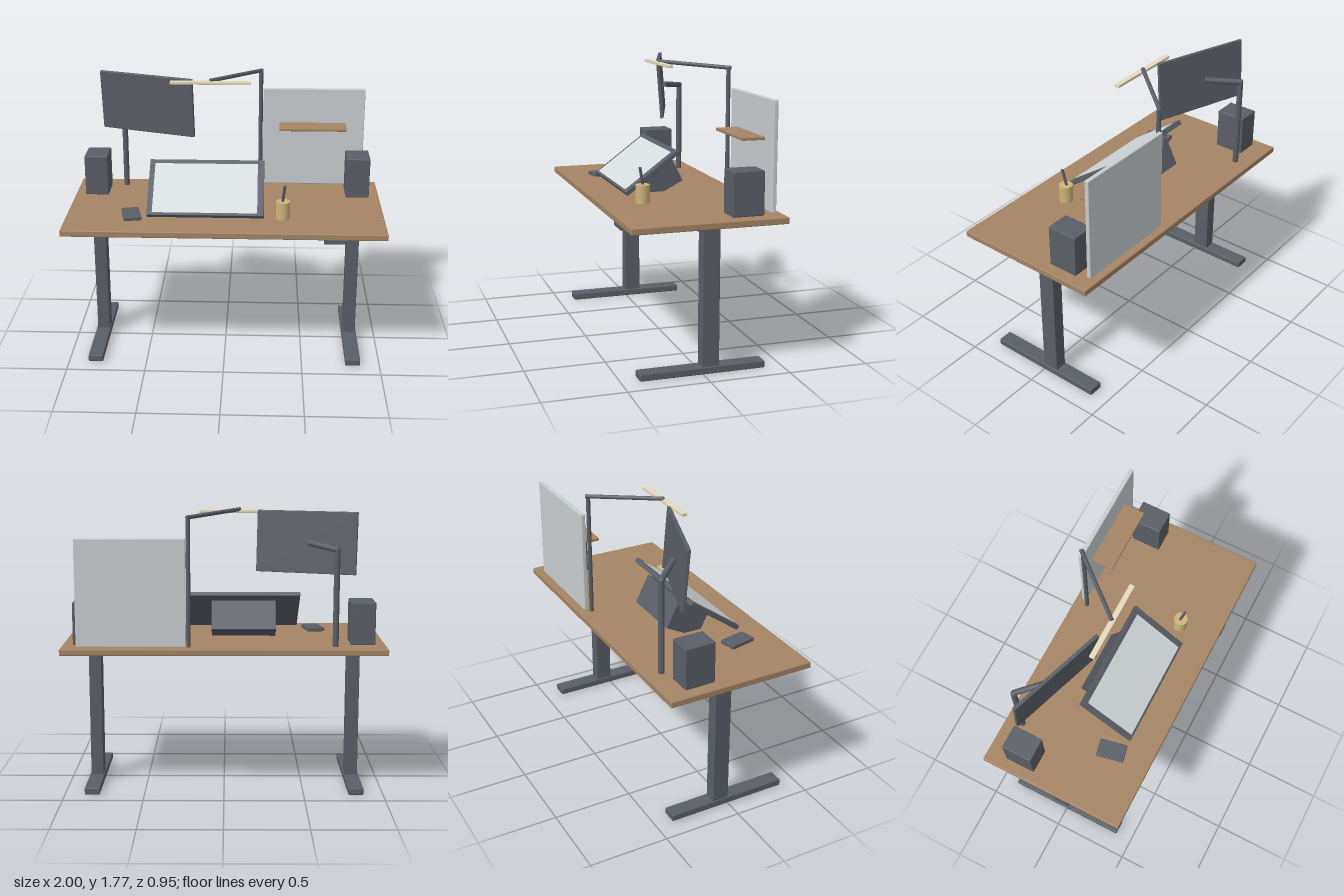
import * as THREE from 'three';
import { RoundedBoxGeometry } from 'three/addons/geometries/RoundedBoxGeometry.js';

const paint = (name, color) => {
  const m = new THREE.MeshStandardMaterial({ color });
  m.name = name;
  return m;
};

export function createModel() {
  const model = new THREE.Group();
  model.name = 'standingDesk';

  const wood = paint('wood', 0xa58464);
  const dark = paint('darkGrey', 0x5a5e66);
  const panelGrey = paint('panelGrey', 0xc9ced1);
  const screenGrey = paint('screenGrey', 0xd6dbde);
  const cream = paint('cream', 0xe6dabd);
  const tan = paint('tan', 0xcdb57a);

  const add = (name, geometry, material, parent = model) => {
    const mesh = new THREE.Mesh(geometry, material);
    mesh.name = name;
    parent.add(mesh);
    return mesh;
  };
  // Softly bevelled box given by its limits on each axis
  const box = (name, material, [x0, x1], [y0, y1], [z0, z1], bevel = 0.004) => {
    const mesh = add(name, new RoundedBoxGeometry(x1 - x0, y1 - y0, z1 - z0, 2, bevel), material);
    mesh.position.set((x0 + x1) / 2, (y0 + y1) / 2, (z0 + z1) / 2);
    return mesh;
  };
  // Round rod between two points
  const rod = (name, material, from, to, radius) => {
    const a = new THREE.Vector3(...from);
    const d = new THREE.Vector3(...to).sub(a);
    const mesh = add(name, new THREE.CylinderGeometry(radius, radius, d.length(), 20), material);
    mesh.position.copy(a).addScaledVector(d, 0.5);
    mesh.quaternion.setFromUnitVectors(new THREE.Vector3(0, 1, 0), d.normalize());
    return mesh;
  };

  // Desk
  const top = 0.947;
  box('desktop', wood, [-1, 1], [0.907, top], [-0.473, 0.473], 0.006);
  box('crossbeam', dark, [-0.8, 0.8], [0.84, 0.907], [-0.1, 0]);
  box('heightControl', dark, [0.613, 0.75], [0.879, 0.907], [0.408, 0.467]);

  // Legs, feet and speakers on both sides
  for (const side of [-1, 1]) {
    const span = (a, b) => [Math.min(side * a, side * b), Math.max(side * a, side * b)];
    box('leg', dark, span(0.788, 0.868), [0.03, 0.9], [-0.101, 0.006]);
    box('foot', dark, span(0.781, 0.876), [0, 0.043], [-0.39, 0.39], 0.006);
    box('speaker', dark, span(0.78, 0.932), [0.95, 1.215], [-0.345, -0.15], 0.006);
  }

  // Tilted drawing display with its stand
  const stand = add('displayStand', new RoundedBoxGeometry(0.41, 0.195, 0.25, 2, 0.004), dark);
  stand.position.set(-0.125, 1.042, 0.018);
  stand.rotation.x = 0.47;

  const display = new THREE.Group();
  display.name = 'drawingDisplay';
  display.position.set(-0.12, 1.103, 0.118);
  display.rotation.x = 0.635;
  model.add(display);
  add('displayFrame', new RoundedBoxGeometry(0.73, 0.03, 0.42, 2, 0.004), dark, display);
  add('displayScreen', new THREE.BoxGeometry(0.655, 0.004, 0.37), screenGrey, display)
    .position.set(-0.004, 0.0155, 0.008);

  // Upper monitor on its pole and arm
  const monitor = add('monitor', new RoundedBoxGeometry(0.64, 0.385, 0.022, 2, 0.004), dark);
  monitor.position.set(-0.511, 1.569, -0.177);
  monitor.rotation.set(0.075, -0.33, 0, 'YXZ');
  rod('monitorPole', dark, [-0.685, top, -0.366], [-0.685, 1.545, -0.366], 0.0185);
  add('monitorPoleJoint', new THREE.SphereGeometry(0.0185, 20, 12), dark)
    .position.set(-0.685, 1.543, -0.366);
  rod('monitorArm', dark, [-0.685, 1.541, -0.37], [-0.525, 1.568, -0.2], 0.0185);

  // Rear panel with shelf
  box('rearPanel', panelGrey, [0.232, 0.903], [0.953, 1.613], [-0.431, -0.404], 0.005);
  box('shelf', wood, [0.342, 0.778], [1.366, 1.384], [-0.405, -0.262], 0.003);

  // Lamp
  rod('lampPole', dark, [0.217, top, -0.388], [0.217, 1.74, -0.388], 0.0135);
  rod('lampArm', dark, [0.222, 1.737, -0.402], [-0.098, 1.762, -0.03], 0.0125);
  box('lampBar', cream, [-0.35, 0.155], [1.739, 1.758], [-0.045, -0.012], 0.003);

  // Small items on the desk
  const pad = add('keypad', new RoundedBoxGeometry(0.11, 0.024, 0.175, 2, 0.004), dark);
  pad.position.set(-0.588, 0.961, 0.216);
  pad.rotation.y = 0.21;
  rod('penCup', tan, [0.364, top, 0.218], [0.364, 1.06, 0.218], 0.044);
  rod('pen', dark, [0.359, 1.04, 0.212], [0.373, 1.168, 0.237], 0.009);

  return model;
}
